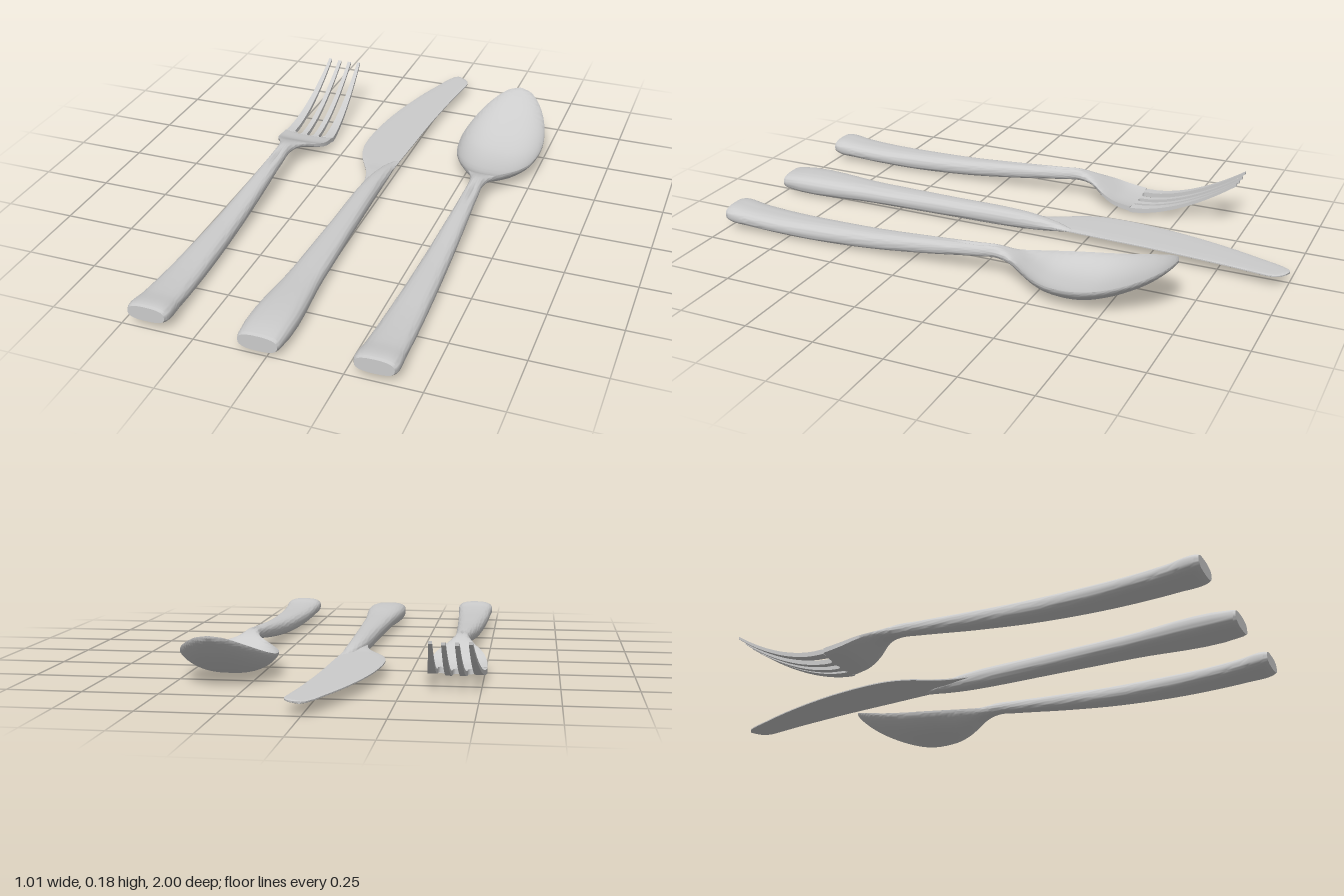
import * as THREE from 'three';
import { toCreasedNormals } from 'three/addons/utils/BufferGeometryUtils.js';

const material = new THREE.MeshStandardMaterial({ color: 0xcccccc });
const HALF = 24; // points across the upper (and the lower) side of a section

// Lofts sections towards -z. Row: [z, centre x, half width, edge y, half edge thickness,
// top y, bottom y, roundness]. Rows are joined by smooth cubics.
function loft(name, rows, steps = 6, groove = 0) {
  const columns = new THREE.CubicInterpolant(
    rows.map((r) => -r[0]), rows.flatMap((r) => r.slice(1)), 7);
  const positions = [], index = [], ring = 2 * (HALF + 1);
  const zs = [];
  rows.forEach((r, i) => {
    if (i === rows.length - 1) return zs.push(r[0]);
    for (let s = 0; s < steps; s++) zs.push(THREE.MathUtils.lerp(r[0], rows[i + 1][0], s / steps));
  });
  for (const z of zs) {
    const [cx, w, edge, t, top, bottom, k] = columns.evaluate(-z);
    for (const side of [1, -1]) {
      for (let j = 0; j <= HALF; j++) {
        const u = -side * Math.cos((Math.PI * j) / HALF);
        const f = Math.pow(Math.max(0, 1 - Math.abs(u) ** 2.6), k);
        const rim = edge + side * t;
        let y = rim + ((side > 0 ? top : bottom) - rim) * f;
        // shallow crease along the top of the neck
        if (side > 0) y -= groove * Math.exp(-((u * w / 0.006) ** 2) - (z / 0.08) ** 2);
        positions.push(cx + u * Math.max(w, 0), y, z);
      }
    }
  }
  for (let i = 0; i < zs.length - 1; i++) {
    for (let j = 0; j < ring; j++) {
      const a = i * ring + j, b = i * ring + (j + 1) % ring;
      index.push(a, b, a + ring, b, b + ring, a + ring);
    }
  }
  // end caps
  for (const [row, first] of [[zs.length - 1, false], [0, true]]) {
    const [cx, , , , top, bottom] = columns.evaluate(-zs[row]);
    const c = positions.length / 3;
    positions.push(cx, (top + bottom) / 2, zs[row]);
    for (let j = 0; j < ring; j++) {
      const a = row * ring + j, b = row * ring + (j + 1) % ring;
      index.push(c, first ? b : a, first ? a : b);
    }
  }
  const geometry = new THREE.BufferGeometry();
  geometry.setAttribute('position', new THREE.Float32BufferAttribute(positions, 3));
  geometry.setIndex(index);
  const mesh = new THREE.Mesh(toCreasedNormals(geometry, 0.7), material);
  mesh.name = name;
  return mesh;
}

// Arched handle shared by the fork and the spoon
const handle = [
  [1, 0, 0.064, 0.05, 0, 0.077, 0.025, 0.36],
  [0.985, 0, 0.07, 0.049, 0, 0.08, 0.018, 0.36],
  [0.9, 0, 0.067, 0.04, 0, 0.071, 0.01, 0.36],
  [0.75, 0, 0.061, 0.034, 0, 0.065, 0.002, 0.38],
  [0.6, 0, 0.054, 0.034, 0, 0.067, 0.001, 0.38],
  [0.4, 0, 0.045, 0.042, 0, 0.073, 0.01, 0.4],
  [0.2, 0, 0.036, 0.058, 0, 0.086, 0.03, 0.42],
  [0, 0, 0.027, 0.078, 0, 0.101, 0.056, 0.45],
  [-0.08, 0, 0.027, 0.085, 0, 0.106, 0.065, 0.48],
];

function createSpoon() {
  const bowl = [
    [-0.14, 0, 0.044, 0.082, 0.003, 0.09, 0.054, 0.55],
    [-0.2, 0, 0.085, 0.073, 0.003, 0.054, 0.03, 0.7],
    [-0.25, 0, 0.117, 0.067, 0.003, 0.03, 0.013, 0.75],
    [-0.31, 0, 0.143, 0.065, 0.003, 0.018, 0.003, 0.75],
    [-0.42, 0, 0.158, 0.074, 0.003, 0.02, 0.006, 0.75],
    [-0.5, 0, 0.15, 0.09, 0.003, 0.042, 0.03, 0.75],
    [-0.58, 0, 0.127, 0.115, 0.003, 0.079, 0.067, 0.75],
    [-0.64, 0, 0.097, 0.139, 0.003, 0.114, 0.103, 0.75],
    [-0.68, 0, 0.065, 0.158, 0.003, 0.145, 0.136, 0.75],
    [-0.7, 0, 0.038, 0.169, 0.003, 0.164, 0.156, 0.75],
    [-0.712, 0, 0.002, 0.175, 0.003, 0.177, 0.171, 0.75],
  ];
  const spoon = new THREE.Group();
  spoon.name = 'spoon';
  spoon.add(loft('spoonHandleAndBowl', [...handle, ...bowl], 6, 0.01));
  return spoon;
}

function createFork() {
  const shoulder = [
    [-0.14, 0, 0.045, 0.078, 0.003, 0.09, 0.06, 0.6],
    [-0.2, 0, 0.08, 0.053, 0.006, 0.06, 0.036, 0.8],
    [-0.25, 0, 0.095, 0.034, 0.008, 0.035, 0.015, 0.95],
    [-0.318, 0, 0.1, 0.022, 0.009, 0.021, 0.003, 1],
  ];
  const fork = new THREE.Group();
  fork.name = 'fork';
  fork.add(loft('forkHandleAndShoulder', [...handle, ...shoulder], 6, 0.01));

  // Tines, separated by three slots with round ends
  const slotHalf = 0.014, slotEnd = -0.332, tip = -0.712;
  const zs = [-0.318, -0.319, -0.321, -0.324, -0.328, slotEnd];
  for (let i = 1; i <= 14; i++) zs.push(THREE.MathUtils.lerp(slotEnd, tip, i / 14));
  for (const side of [-1, 1]) {
    for (const outer of [false, true]) {
      const rows = zs.map((z) => {
        const t = Math.max(0, (slotEnd - z) / (slotEnd - tip));
        const s = slotHalf * Math.sqrt(1 - Math.min(1, Math.max(0, (z - slotEnd) / slotHalf)) ** 2);
        const slot = THREE.MathUtils.lerp(0.05, 0.042, t);
        const near = outer ? slot + s : s;
        const far = outer ? THREE.MathUtils.lerp(0.1, 0.068, t) : slot - s;
        const x = (near + far) / 2, h = THREE.MathUtils.lerp(0.009, 0.005, t);
        const y = 0.012 + 0.158 * t ** 1.7 + 0.01 * (x / 0.1) ** 2;
        return [z, side * x, (far - near) / 2, y, h, y + h, y - h, 1];
      });
      fork.add(loft(outer ? 'outerTine' : 'innerTine', rows, 1));
    }
  }
  return fork;
}

function createKnife() {
  const knife = new THREE.Group();
  knife.name = 'knife';
  knife.add(loft('knifeHandle', [
    [1, -0.031, 0.066, 0.037, 0, 0.064, 0.009, 0.36],
    [0.985, -0.031, 0.071, 0.037, 0, 0.068, 0.005, 0.36],
    [0.6, -0.03, 0.056, 0.036, 0, 0.067, 0.003, 0.38],
    [0.3, -0.03, 0.044, 0.036, 0, 0.067, 0.003, 0.4],
    [0, -0.029, 0.034, 0.036, 0, 0.066, 0.006, 0.45],
    [-0.1, -0.022, 0.027, 0.037, 0, 0.058, 0.016, 0.5],
    [-0.17, -0.013, 0.018, 0.038, 0, 0.047, 0.028, 0.5],
    [-0.21, -0.002, 0.008, 0.038, 0, 0.041, 0.035, 0.5],
  ]));
  // Blade outline: z, cutting edge x, spine x
  const outline = [
    [0.03, -0.06, -0.002], [-0.05, -0.072, 0.003], [-0.1, -0.088, 0.004], [-0.15, -0.114, 0.005],
    [-0.2, -0.14, 0.007], [-0.27, -0.16, 0.01], [-0.35, -0.165, 0.014], [-0.5, -0.153, 0.02],
    [-0.6, -0.136, 0.026], [-0.7, -0.113, 0.034], [-0.8, -0.085, 0.043], [-0.9, -0.051, 0.055],
    [-0.95, -0.034, 0.058], [-0.98, -0.02, 0.044], [-0.993, -0.011, 0.026], [-1, 0, 0.008],
  ];
  knife.add(loft('blade', outline.map(([z, l, r]) => {
    const h = z > -0.15 ? 0.007 : 0.0045;
    return [z, (l + r) / 2, (r - l) / 2, 0.038, 0.002, 0.038 + h, 0.038 - h, 0.5];
  })));
  return knife;
}

export function createModel() {
  const model = new THREE.Group();
  model.name = 'cutlerySet';
  const fork = createFork(), knife = createKnife(), spoon = createSpoon();
  fork.position.x = -0.41;
  spoon.position.x = 0.347;
  model.add(fork, knife, spoon);
  return model;
}
